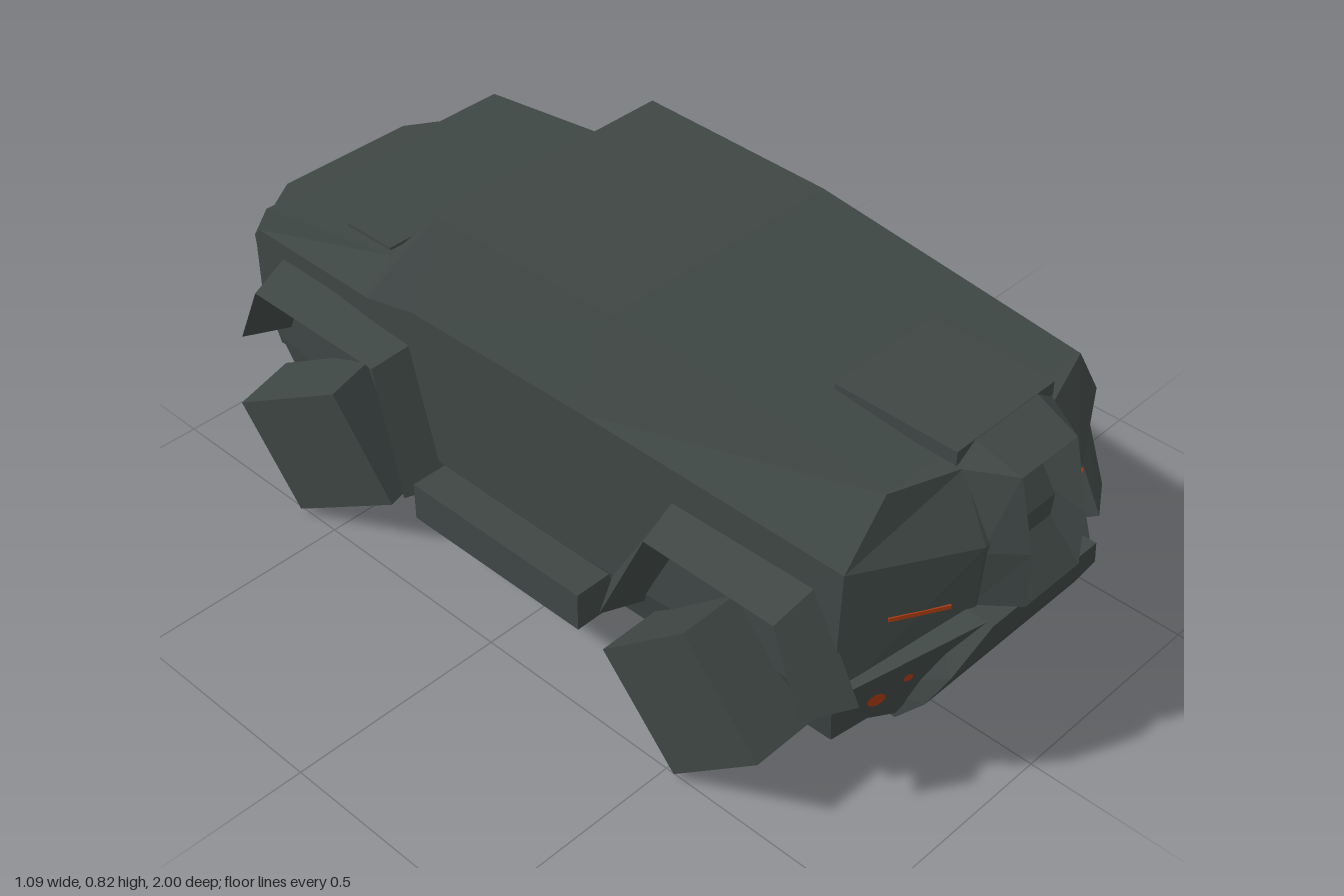
import * as THREE from 'three';
import { ConvexGeometry } from 'three/addons/geometries/ConvexGeometry.js';

const paint = new THREE.MeshStandardMaterial({ color: 0x3e4644, side: THREE.DoubleSide });
paint.name = 'dark grey green';
const lamp = new THREE.MeshStandardMaterial({ color: 0xa83a10, side: THREE.DoubleSide });
lamp.name = 'orange lamp';

// Faceted skin over a grid of points, rows of equal length
function grid(rows, closed = false) {
  const pos = [];
  for (let i = 0; i < rows.length - 1; i++) {
    const a = rows[i], b = rows[i + 1], n = a.length;
    for (let j = 0; j < (closed ? n : n - 1); j++) {
      const k = (j + 1) % n;
      pos.push(...a[j], ...b[j], ...b[k], ...a[j], ...b[k], ...a[k]);
    }
  }
  const g = new THREE.BufferGeometry();
  g.setAttribute('position', new THREE.Float32BufferAttribute(pos, 3));
  g.computeVertexNormals();
  return g;
}

const hull = (pts) => new ConvexGeometry(pts.map((p) => new THREE.Vector3(...p)));
const flip = (p) => [-p[0], p[1], p[2]];
const withMirror = (pts) => [...pts, ...pts.map(flip)];

export function createModel() {
  const car = new THREE.Group();
  car.name = 'offRoadCar';
  const shell = new THREE.Group();
  shell.name = 'shell';
  shell.position.x = -0.01;
  car.add(shell);

  function add(name, geometry, material = paint, parent = shell) {
    const m = new THREE.Mesh(geometry, material);
    m.name = name;
    parent.add(m);
    return m;
  }

  // Body: half sections from floor edge to roof edge, from the tall end to the bonnet
  const halves = [
    [[0.14, 0.2, 0.82], [0.14, 0.33, 0.92], [0.14, 0.62, 0.94], [0.13, 0.755, 0.87]],
    [[0.34, 0.17, 0.78], [0.37, 0.3, 0.8], [0.37, 0.62, 0.81], [0.28, 0.757, 0.82]],
    [[0.35, 0.168, 0.17], [0.375, 0.26, 0.17], [0.38, 0.63, 0.17], [0.3, 0.815, 0.17]],
    [[0.35, 0.168, -0.31], [0.375, 0.26, -0.31], [0.38, 0.62, -0.31], [0.305, 0.815, -0.31]],
    [[0.35, 0.168, -0.46], [0.37, 0.26, -0.46], [0.375, 0.58, -0.46], [0.315, 0.66, -0.45]],
    [[0.33, 0.168, -0.775], [0.345, 0.28, -0.82], [0.348, 0.55, -0.85], [0.33, 0.6, -0.84]],
    [[0.31, 0.25, -0.85], [0.33, 0.3, -0.87], [0.34, 0.52, -0.88], [0.32, 0.56, -0.87]],
  ];
  add('body', grid(halves.map((h) => [...h, ...h.map(flip).reverse()]), true));
  for (const [name, h] of [['tailEnd', halves[0]], ['noseEnd', halves[6]]]) {
    add(name, grid([h, h.map(flip)]));
  }

  // Roof plate
  const plate = add('roofPlate', new THREE.BoxGeometry(0.28, 0.03, 0.28));
  plate.position.set(0, 0.776, 0.72);

  // Central ridge with a notch cut into it
  const base = [[0.14, 0.47, 0.92], [0.14, 0.6, 0.93], [0.14, 0.755, 0.86], [0.14, 0.79, 0.83]];
  const rim = [[0.08, 0.475, 0.998], [0.08, 0.6, 0.998], [0.08, 0.755, 0.96], [0.09, 0.79, 0.86]];
  const notch = [0.045, 0.655, 0.88];
  for (const s of [1, -1]) {
    const at = (p) => [p[0] * s, p[1], p[2]];
    add('ridgeSide', grid([base.map(at), rim.map(at)]));
    add('notchSide', grid([rim.slice(0, 3).map(at), [notch, notch, notch].map(at)]));
  }
  const centreRows = [rim[0], notch, rim[2], rim[3], base[3]];
  add('ridgeCentre', grid([centreRows, centreRows.map(flip)]));

  // Bumper under the ridge: undercut centre panel and two angled wings
  add('tailBumper', hull(withMirror([
    [0.155, 0.47, 0.985], [0.22, 0.36, 0.95], [0.228, 0.27, 0.905], [0.228, 0.19, 0.84],
    [0.155, 0.47, 0.85], [0.228, 0.19, 0.7],
  ])));
  for (const s of [1, -1]) {
    add('tailBumperWing', hull([
      [0.155, 0.47, 0.97], [0.37, 0.335, 0.82], [0.34, 0.21, 0.78], [0.235, 0.21, 0.845],
      [0.155, 0.47, 0.8], [0.36, 0.335, 0.74], [0.34, 0.21, 0.74], [0.2, 0.21, 0.74],
    ].map((p) => [p[0] * s, p[1], p[2]])));
  }

  // Nose bumper with a lower lip
  const nose = [];
  for (const [x, z] of [[0.345, -0.87], [0.17, -0.98], [0.34, -0.8]]) {
    nose.push([x, 0.525, z], [x, 0.38, z], [x - 0.01, 0.25, z + 0.035]);
  }
  add('noseBumper', hull(withMirror(nose)));
  add('noseLip', hull(withMirror([
    [0.165, 0.385, -0.998], [0.155, 0.25, -0.955], [0.165, 0.39, -0.94], [0.155, 0.25, -0.92],
  ])));
  add('bonnetPanel', hull(withMirror([
    [0.3, 0.664, -0.465], [0.3, 0.658, -0.465], [0.285, 0.645, -0.62], [0.285, 0.638, -0.62],
    [0.11, 0.635, -0.67], [0.11, 0.63, -0.67],
  ])));

  // A thin plate laid on a face of the given normal
  function decal(name, geometry, p, n, material) {
    for (const s of [1, -1]) {
      const dir = new THREE.Vector3(n[0] * s, n[1], n[2]).normalize();
      const m = add(name, geometry, material);
      m.position.set(p[0] * s, p[1], p[2]).addScaledVector(dir, 0.004);
      m.lookAt(m.position.clone().add(dir));
    }
  }
  const oval = (w, h) => new THREE.CircleGeometry(0.5, 10).scale(w, h, 1);
  const wing = [0.422, -0.284, 0.861];
  decal('tailLamp', oval(0.036, 0.046), [0.295, 0.29, 0.842], wing, lamp);
  decal('smallTailLamp', oval(0.018, 0.026), [0.255, 0.345, 0.88], wing, lamp);
  decal('lampStripe', new THREE.BoxGeometry(0.12, 0.009, 0.006), [0.235, 0.49, 0.877], [0.49, 0, 0.87], lamp);
  decal('noseLamp', oval(0.034, 0.055), [0.27, 0.492, -0.917], [0.53, 0, -0.848], lamp);
  decal('nosePanel', new THREE.BoxGeometry(0.16, 0.12, 0.009), [0.255, 0.32, -0.91], [0.52, -0.2, -0.84], paint);

  // Wheel arch flares (edge on body, lip, inner edge as z, y) and sills, on both sides
  const flares = {
    tailFlare: [
      [[0.86, 0.33], [0.745, 0.55], [0.4, 0.55], [0.235, 0.26]],
      [[0.8, 0.32], [0.73, 0.51], [0.41, 0.51], [0.29, 0.25]],
      [[0.75, 0.26], [0.69, 0.465], [0.44, 0.465], [0.33, 0.24]],
    ],
    noseFlare: [
      [[-0.25, 0.2], [-0.33, 0.53], [-0.75, 0.53], [-0.85, 0.33]],
      [[-0.285, 0.2], [-0.355, 0.5], [-0.73, 0.5], [-0.8, 0.35]],
      [[-0.33, 0.2], [-0.4, 0.46], [-0.7, 0.46], [-0.77, 0.33]],
    ],
  };
  for (const s of [1, -1]) {
    for (const [name, rails] of Object.entries(flares)) {
      const xs = [0.365, 0.46, 0.34];
      add(name, grid([0, 1, 2, 0].map((i) => rails[i].map(([z, y]) => [xs[i] * s, y, z]))));
    }
    const sill = add('sill', new THREE.BoxGeometry(0.12, 0.09, 0.48));
    sill.position.set(0.4 * s, 0.213, -0.01);
  }

  // Block wheels, each turned its own way: position, then pitch, yaw, roll
  const wheels = [
    ['tailWheelLeft', [0.42, 0.21, 0.565], [-0.66, 0, 0.23]],
    ['tailWheelRight', [-0.438, 0.215, 0.545], [-0.72, 0, 0.02]],
    ['noseWheelLeft', [0.425, 0.19, -0.555], [0.2, 0.06, 0]],
    ['noseWheelRight', [-0.43, 0.205, -0.545], [-0.45, 0.24, 0.03]],
  ];
  for (const [name, p, [rx, ry, rz]] of wheels) {
    const w = add(name, new THREE.BoxGeometry(0.155, 0.28, 0.285), paint, car);
    w.position.set(...p);
    w.rotation.set(rx, ry, rz, 'ZYX');
  }
  return car;
}
